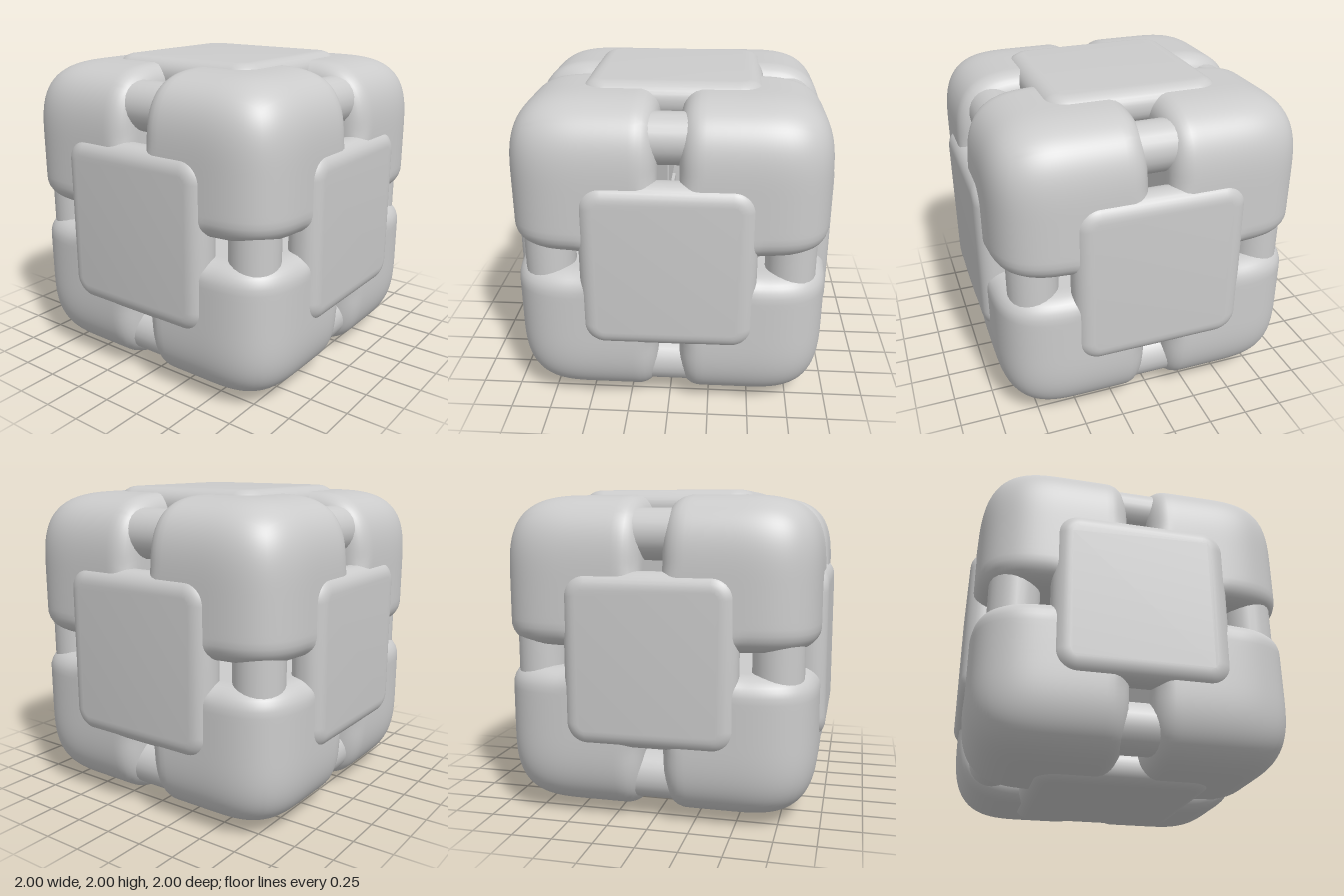
import * as THREE from 'three';
import { toCreasedNormals } from 'three/addons/utils/BufferGeometryUtils.js';

const GAP = 0.065, OUTER = 0.968, SOFT = 0.45, POWER = 3.3;
const material = new THREE.MeshStandardMaterial({ color: 0xcccccc });

// One corner block in the +x +y +z octant: full outer rounding, and gap edges
// whose rounding fades out towards the middle of each face.
function cornerBlockGeometry() {
  const size = OUTER - GAP, mid = (OUTER + GAP) / 2, seg = 24;
  const geo = new THREE.BoxGeometry(size, size, size, seg, seg, seg).translate(mid, mid, mid);
  const pos = geo.attributes.position;
  for (let v = 0; v < pos.count; v++) {
    const p = [pos.getX(v), pos.getY(v), pos.getZ(v)];
    // soften the edge between each gap face and the outside
    for (let i = 0; i < 3; i++) {
      const j = (i + 1) % 3, k = (i + 2) % 3;
      const r = 0.13 * THREE.MathUtils.smoothstep(Math.min(p[j], p[k]), 0.2, 0.6);
      const m = Math.max(p[j], p[k]);
      const a = GAP + r - p[i], b = m - (OUTER - r);
      if (r > 0 && a > 0 && b > 0) {
        const f = Math.max(a, b) / Math.hypot(a, b);
        p[i] = GAP + r - a * f;
        const s = (OUTER - r + b * f) / m;
        p[j] *= s;
        p[k] *= s;
      }
    }
    // round the outer edges and corner
    const q = p.map((c) => Math.max(c - SOFT, 0));
    const norm = Math.pow(q.reduce((sum, c) => sum + Math.pow(c, POWER), 0), 1 / POWER);
    if (norm > 0) {
      const f = Math.max(...q) / norm;
      for (let i = 0; i < 3; i++) if (q[i] > 0) p[i] = SOFT + q[i] * f;
    }
    pos.setXYZ(v, ...p);
  }
  return toCreasedNormals(geo, 0.7);
}

// Face plate: rounded square with a broad flaring bevel, facing +z
function plateGeometry() {
  const h = 0.45, r = 0.05;
  const s = new THREE.Shape();
  s.moveTo(-h + r, -h);
  s.lineTo(h - r, -h).absarc(h - r, -h + r, r, -Math.PI / 2, 0);
  s.lineTo(h, h - r).absarc(h - r, h - r, r, 0, Math.PI / 2);
  s.lineTo(-h + r, h).absarc(-h + r, h - r, r, Math.PI / 2, Math.PI);
  s.lineTo(-h, -h + r).absarc(-h + r, -h + r, r, Math.PI, Math.PI * 1.5);
  const geo = new THREE.ExtrudeGeometry(s, {
    depth: 0.02, curveSegments: 6,
    bevelThickness: 0.1, bevelSize: 0.11, bevelSegments: 7,
  });
  return toCreasedNormals(geo.translate(0, 0, 0.88), 0.7);
}

export function createModel() {
  const model = new THREE.Group();
  const body = new THREE.Group();
  body.name = 'cubeBody';
  body.position.y = 1;
  model.add(body);

  const add = (geo, name, x = 0, y = 0, z = 0) => {
    const mesh = new THREE.Mesh(geo, material);
    mesh.name = name;
    mesh.rotation.set(x, y, z, 'YXZ');
    body.add(mesh);
    return mesh;
  };

  // eight corner blocks
  const block = cornerBlockGeometry();
  for (let i = 0; i < 4; i++) {
    add(block, 'upperCornerBlock', 0, i * Math.PI / 2);
    add(block, 'lowerCornerBlock', Math.PI, i * Math.PI / 2);
  }

  // six face plates
  const plate = plateGeometry();
  for (let i = 0; i < 4; i++) {
    const s = i % 2 ? 0.96 : 0.94;
    add(plate, 'sidePlate', 0, i * Math.PI / 2).scale.set(s, s, 1);
  }
  add(plate, 'topPlate', -Math.PI / 2);
  add(plate, 'bottomPlate', Math.PI / 2);

  // twelve round connectors bridging the gaps
  const pin = new THREE.CylinderGeometry(0.155, 0.155, 0.3, 24);
  const d = 0.735;
  for (const a of [-d, d]) for (const b of [-d, d]) {
    add(pin, 'verticalConnector').position.set(a, 0, b);
    add(pin, 'crossConnector', 0, 0, Math.PI / 2).position.set(0, a, b);
    add(pin, 'depthConnector', Math.PI / 2).position.set(a, b, 0);
  }
  return model;
}
